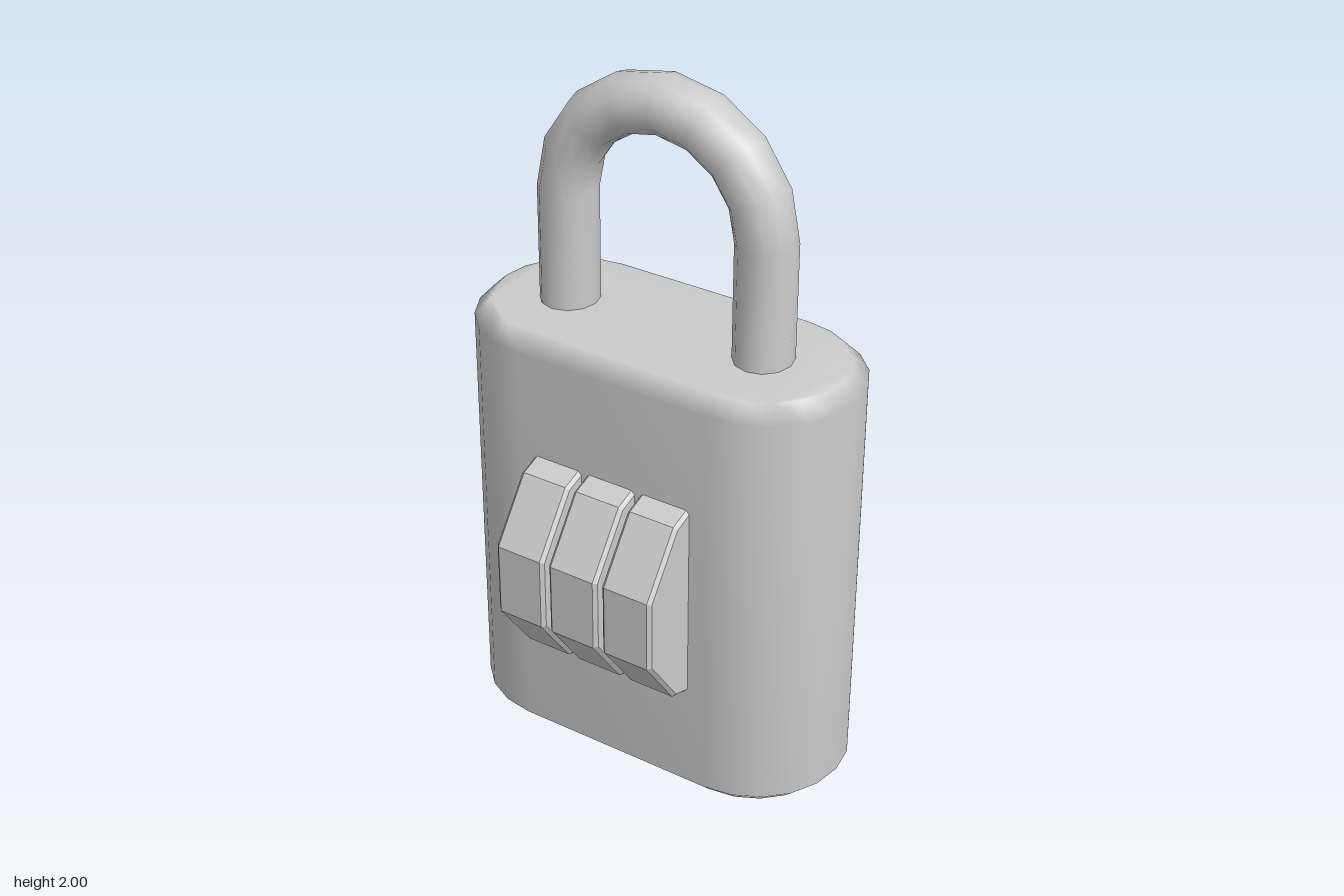
import * as THREE from 'three';
import { mergeVertices, mergeGeometries } from 'three/addons/utils/BufferGeometryUtils.js';

const material = new THREE.MeshStandardMaterial({ color: 0xcccccc });

function part(name, geometry, x, y, z) {
  const mesh = new THREE.Mesh(geometry, material);
  mesh.name = name;
  mesh.position.set(x, y, z);
  return mesh;
}

// Weld corners so the shading runs smoothly over the chamfers
function smooth(geometry) {
  geometry.deleteAttribute('uv');
  geometry.deleteAttribute('normal');
  const welded = mergeVertices(geometry, 1e-4);
  welded.computeVertexNormals();
  return welded;
}

// Extrusion of total length `length` with chamfered ends that keep the outline size
function chamferedExtrude(shape, length, chamfer, curveSegments) {
  return new THREE.ExtrudeGeometry(shape, {
    depth: length - 2 * chamfer,
    bevelThickness: chamfer,
    bevelSize: chamfer,
    bevelOffset: -chamfer,
    bevelSegments: 1,
    curveSegments,
  }).translate(0, 0, chamfer);
}

// Stadium-shaped block standing on the ground
function bodyGeometry() {
  const r = 0.271, half = 0.3;
  const outline = new THREE.Shape();
  outline.absarc(half, 0, r, -Math.PI / 2, Math.PI / 2);
  outline.absarc(-half, 0, r, Math.PI / 2, Math.PI * 1.5);
  return smooth(chamferedExtrude(outline, 1.285, 0.043, 5).rotateX(-Math.PI / 2));
}

// Half-torus arch with two straight legs, origin at the arch centre
function shackleGeometry() {
  const R = 0.304, r = 0.081, legLength = 0.45;
  const pieces = [new THREE.TorusGeometry(R, r, 12, 8, Math.PI)];
  for (const side of [-1, 1]) {
    pieces.push(new THREE.CylinderGeometry(r, r, legLength, 12, 1, true)
      .translate(side * R, -legLength / 2, 0));
  }
  return smooth(mergeGeometries(pieces).scale(1, 1, 1.08));
}

// Ten-sided number wheel with its axis along x
function wheelGeometry() {
  const R = 0.34, width = 0.154;
  const points = [];
  for (let i = 0; i < 10; i++) {
    const a = (i + 0.5) * Math.PI / 5;
    points.push(new THREE.Vector2(R * Math.cos(a), R * Math.sin(a)));
  }
  return chamferedExtrude(new THREE.Shape(points), width, 0.01, 1)
    .translate(0, 0, -width / 2)
    .rotateY(Math.PI / 2);
}

export function createModel() {
  const model = new THREE.Group();
  model.name = 'combinationPadlock';
  model.add(part('body', bodyGeometry(), 0, 0, -0.091));
  model.add(part('shackle', shackleGeometry(), -0.008, 1.615, -0.089));

  // Three wheels set into the front face
  const wheel = wheelGeometry();
  const wheels = new THREE.Group();
  wheels.name = 'numberWheels';
  for (let i = -1; i <= 1; i++) {
    wheels.add(part('numberWheel', wheel, -0.002 + i * 0.17, 0.645, 0.041));
  }
  model.add(wheels);
  return model;
}
